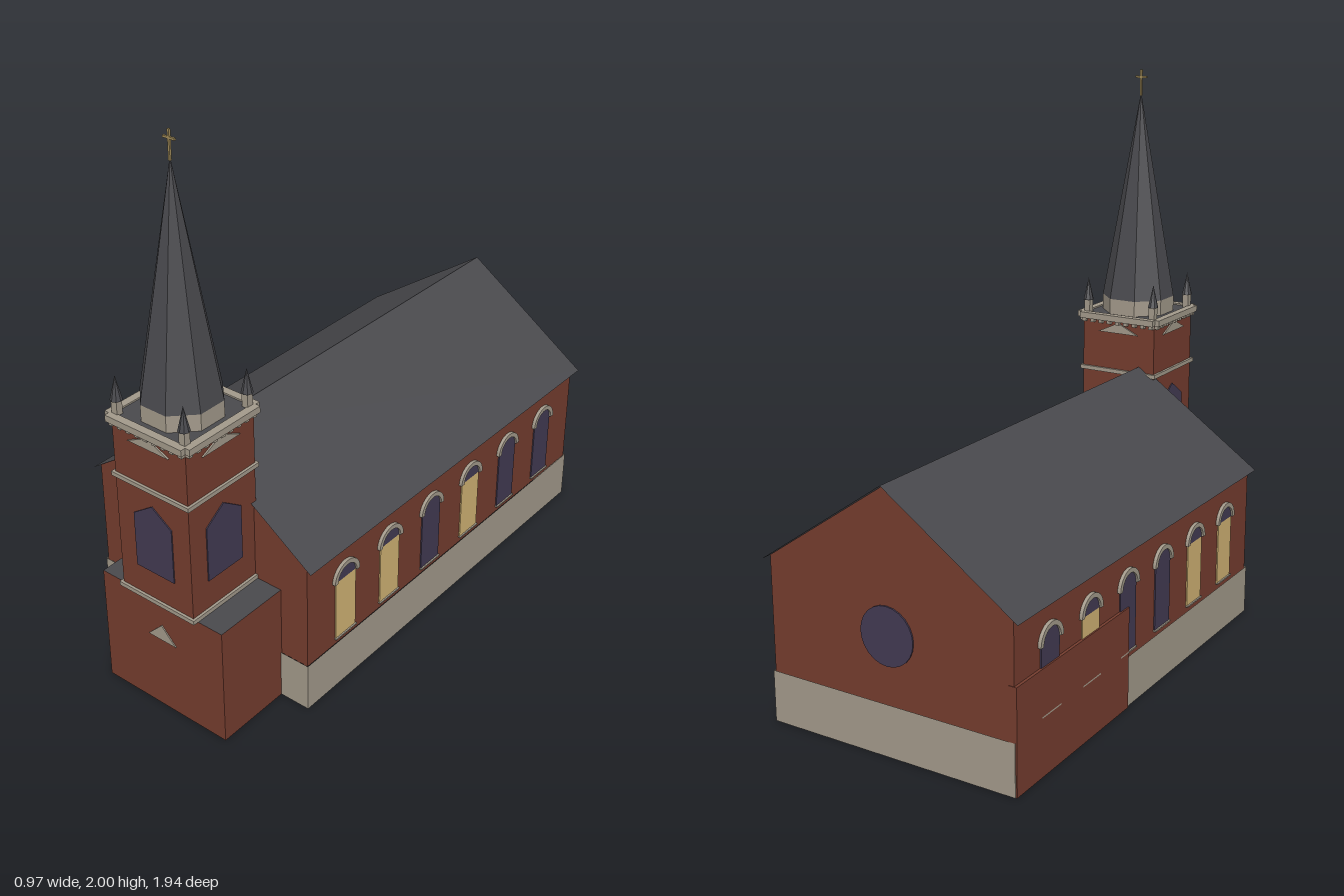
import * as THREE from 'three';

const mat = (name, color, side = THREE.FrontSide) => {
  const m = new THREE.MeshStandardMaterial({ color, side });
  m.name = name;
  return m;
};

export function createModel() {
  const brick = mat('brick', 0x743c2e, THREE.DoubleSide);
  const stone = mat('stone', 0xa2998a, THREE.DoubleSide);
  const slate = mat('slate', 0x49494d, THREE.DoubleSide);
  const glass = mat('dark glass', 0x423a52, THREE.DoubleSide);
  const litGlass = mat('lit glass', 0xd0b273, THREE.DoubleSide);
  const gold = mat('gold', 0xa08a58);

  const model = new THREE.Group();
  model.name = 'church';

  const add = (parent, name, geo, material, x = 0, y = 0, z = 0, ry = 0) => {
    const m = new THREE.Mesh(geo, material);
    m.name = name;
    m.position.set(x, y, z);
    m.rotation.y = ry;
    parent.add(m);
    return m;
  };
  const group = (parent, name, x = 0, y = 0, z = 0, ry = 0) => {
    const g = new THREE.Group();
    g.name = name;
    g.position.set(x, y, z);
    g.rotation.y = ry;
    parent.add(g);
    return g;
  };
  const box = (w, h, d) => new THREE.BoxGeometry(w, h, d);
  const polygon = (pts) => new THREE.Shape(pts.map(([x, y]) => new THREE.Vector2(x, y)));
  const plate = (shape, depth) => new THREE.ExtrudeGeometry(shape, { depth, bevelEnabled: false, curveSegments: 12 });

  // Nave: open shell of thin walls on a stone plinth
  const HW = 0.46, ZF = 0.65, ZB = -0.95, LEN = ZF - ZB, ZM = (ZF + ZB) / 2;
  const PLINTH = 0.175, EAVE = 0.58, RIDGE = 0.9;
  const nave = group(model, 'nave');
  const gable = polygon([[-HW, PLINTH], [HW, PLINTH], [HW, EAVE], [0, RIDGE - 0.004], [-HW, EAVE]]);
  for (const [z, ry] of [[ZF, 0], [ZB, Math.PI]]) {
    const end = group(nave, 'gableEnd', 0, 0, z, ry);
    add(end, 'gableWall', new THREE.ShapeGeometry(gable), brick);
    add(end, 'plinthEnd', new THREE.PlaneGeometry(HW * 2 + 0.01, PLINTH + 0.005), stone, 0, (PLINTH + 0.005) / 2, 0.005);
    add(end, 'roundWindow', plate(new THREE.Shape().absarc(0, 0, 0.1, 0, Math.PI * 2), 0.005), glass, 0, 0.41, 0.001);
  }

  // Arched window, facing +z
  const archRing = new THREE.Shape();
  archRing.absarc(0, 0, 0.066, 0, Math.PI, false);
  archRing.absarc(0, 0, 0.05, Math.PI, 0, true);
  const ringGeo = plate(archRing, 0.012);
  const headGeo = plate(new THREE.Shape().absarc(0, 0, 0.053, 0, Math.PI), 0.004);
  const archedWindow = (parent, x, lit) => {
    const w = group(parent, 'archedWindow', x);
    add(w, 'windowPane', box(0.105, 0.23, 0.009), lit ? litGlass : glass, 0, 0.315, 0);
    add(w, 'windowHead', headGeo, glass, 0, 0.43, 0.001);
    add(w, 'windowArch', ringGeo, stone, 0, 0.43, 0);
    add(w, 'windowSill', box(0.11, 0.005, 0.014), stone, 0, 0.2, 0.003);
  };

  // Long walls, with the lit panes listed from front to back
  const windowZ = [0.455, 0.213, -0.028, -0.27, -0.512, -0.754];
  const litPanes = { 1: [1, 1, 0, 1, 0, 0], [-1]: [1, 1, 0, 0, 1, 0] };
  for (const s of [1, -1]) {
    const side = group(nave, s > 0 ? 'leftSide' : 'rightSide', s * HW, 0, ZM, s * Math.PI / 2);
    add(side, 'sideWall', new THREE.PlaneGeometry(LEN, EAVE - PLINTH), brick, 0, (EAVE + PLINTH) / 2, 0);
    add(side, 'plinthSide', new THREE.PlaneGeometry(LEN + 0.01, PLINTH + 0.005), stone, 0, (PLINTH + 0.005) / 2, 0.005);
    windowZ.forEach((z, i) => archedWindow(side, -s * (z - ZM), litPanes[s][i]));
  }

  // Low brick lean-to on the right rear wall
  add(nave, 'sideAnnex', box(0.03, 0.36, 0.68), brick, -0.455, 0.18, -0.612);

  // Thin roof sheets meeting at the ridge
  const RX = 0.485, RY = 0.565, RF = 0.663, RB = -0.967;
  for (const s of [1, -1]) {
    const geo = new THREE.PlaneGeometry(Math.hypot(RX, RIDGE - RY), RF - RB);
    geo.rotateX(-Math.PI / 2);
    const roof = add(nave, 'roofSlope', geo, slate, s * RX / 2, (RIDGE + RY) / 2, (RF + RB) / 2);
    roof.rotation.z = -s * Math.atan2(RIDGE - RY, RX);
  }

  // Porch block with a flat slate top
  const CX = 0.09, CZ = 0.793;
  const porch = group(model, 'porch', CX, 0, 0);
  add(porch, 'porchBlock', box(0.52, 0.435, 0.29), [brick, brick, slate, brick, brick, brick], 0, 0.2175, 0.79);
  add(porch, 'porchPediment', plate(polygon([[-0.06, 0.28], [0.06, 0.28], [0, 0.34]]), 0.004), stone, 0, 0, 0.935);

  // Tower shaft and string courses
  const T = 0.153;
  const tower = group(model, 'tower', CX, 0, CZ);
  add(tower, 'towerShaft', box(T * 2, 0.65, T * 2), [brick, brick, slate, brick, brick, brick], 0, 0.76, 0);
  for (const y of [0.443, 0.87]) add(tower, 'stringCourse', box(0.325, 0.015, 0.325), stone, 0, y, 0);

  // Each tower face: pointed window, pediment, cornice bar and dentils
  const pointed = plate(polygon([[-0.08, 0.555], [0.08, 0.555], [0.08, 0.755], [0, 0.81], [-0.08, 0.755]]), 0.004);
  const pediment = plate(polygon([[-0.085, 1.02], [0.085, 1.02], [0, 1.06]]), 0.006);
  for (let k = 0; k < 4; k++) {
    const face = group(tower, 'towerFace', 0, 0, 0, k * Math.PI / 2);
    add(face, 'pointedWindow', pointed, glass, 0, 0, T);
    add(face, 'pediment', pediment, stone, 0, 0, T);
    add(face, 'corniceBar', box(0.316, 0.023, 0.028), stone, 0, 1.079, 0.162);
    for (let i = 0; i < 9; i++) {
      add(face, 'dentil', box(0.016, 0.014, 0.016), stone, (i - 4) * 0.036, 1.061, 0.16);
    }
  }

  // Corner pinnacles
  for (const sx of [1, -1]) for (const sz of [1, -1]) {
    const p = group(tower, 'pinnacle', sx * 0.14, 0, sz * 0.14);
    add(p, 'pinnaclePost', box(0.024, 0.05, 0.024), stone, 0, 1.108, 0);
    const cone = new THREE.ConeGeometry(0.02, 0.085, 8).toNonIndexed();
    cone.computeVertexNormals();
    add(p, 'pinnacleCap', cone, slate, 0, 1.1775, 0);
  }

  // Octagonal drum, spire and finial cross
  const faceted = (geo) => {
    const g = geo.toNonIndexed();
    g.computeVertexNormals();
    return g.rotateY(Math.PI / 8);
  };
  add(tower, 'spireDrum', faceted(new THREE.CylinderGeometry(0.137, 0.137, 0.06, 8)), stone, 0, 1.113, 0);
  add(tower, 'spire', faceted(new THREE.ConeGeometry(0.137, 0.775, 8)), slate, 0, 1.5305, 0);
  add(tower, 'crossPost', box(0.007, 0.095, 0.007), gold, 0, 1.9525, 0);
  add(tower, 'crossArm', box(0.046, 0.007, 0.007), gold, 0, 1.973, 0);

  return model;
}
